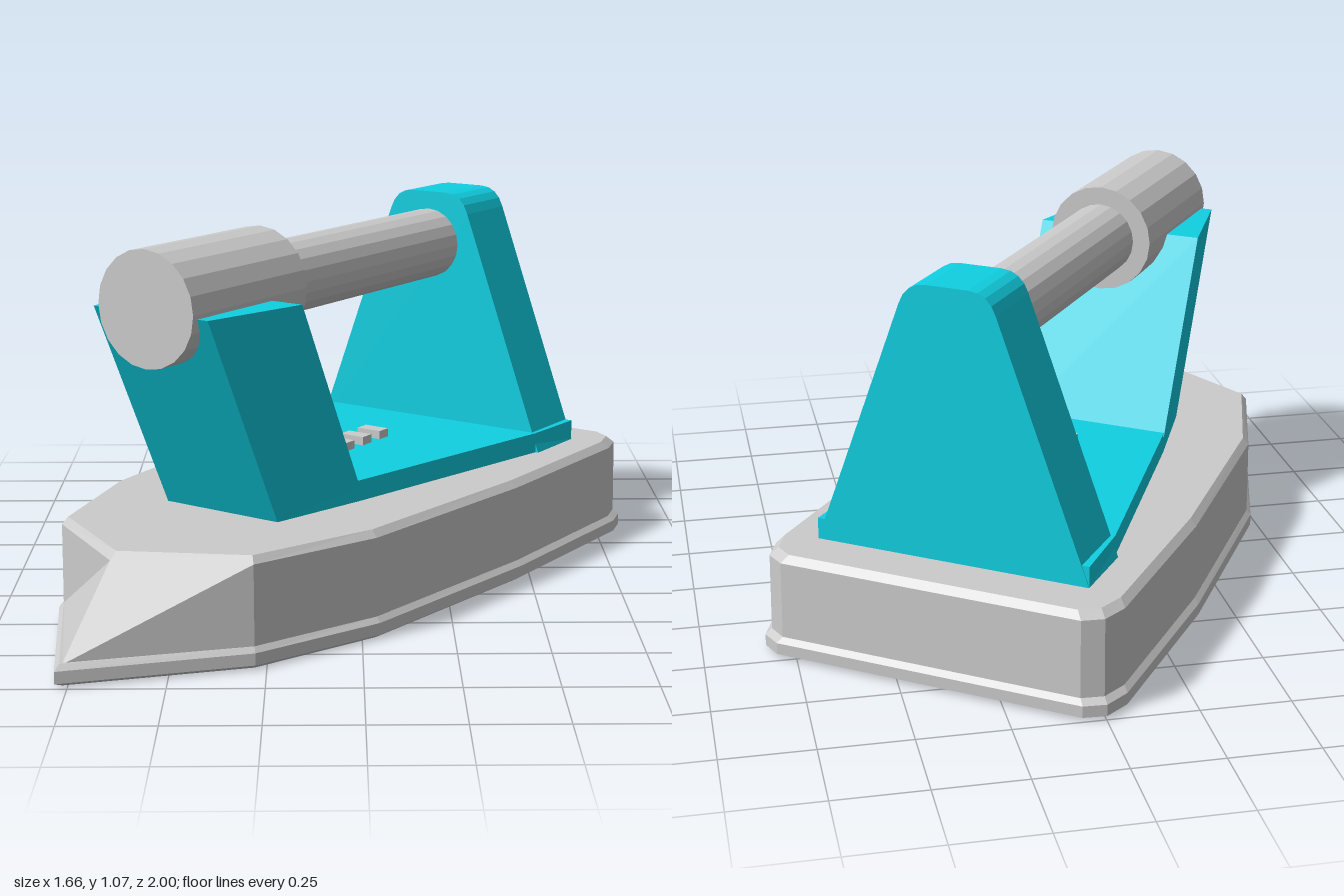
import * as THREE from 'three';

const grey = new THREE.MeshStandardMaterial({ color: 0xcccccc, flatShading: true });
const teal = new THREE.MeshStandardMaterial({ color: 0x10d0e2, flatShading: true });

// Mirror a half outline (tip or front edge to back, on +x) into a full loop
function mirrorLoop(half) {
  const other = half.filter(([x]) => x > 0).reverse().map(([x, z]) => [-x, z]);
  return [...half, ...other];
}

// Stack of rings [{ y, loop }] joined by side faces and closed at both ends
function loft(rings) {
  const pos = [], idx = [], n = rings[0].loop.length;
  rings.forEach(({ y, loop }) => loop.forEach(([x, z]) => pos.push(x, y, z)));
  for (let r = 0; r < rings.length - 1; r++) {
    for (let i = 0; i < n; i++) {
      const j = (i + 1) % n, a = r * n + i, b = r * n + j;
      idx.push(a, b, b + n, a, b + n, a + n);
    }
  }
  const top = (rings.length - 1) * n;
  for (let i = 1; i < n - 1; i++) {
    idx.push(0, i + 1, i);
    idx.push(top, top + i, top + i + 1);
  }
  const geo = new THREE.BufferGeometry();
  geo.setAttribute('position', new THREE.Float32BufferAttribute(pos, 3));
  geo.setIndex(idx);
  const flat = geo.toNonIndexed();
  flat.computeVertexNormals();
  return flat;
}

// Pointed hull outline, shrunk by an inset, with a movable tip
function hull(inset, tipZ) {
  const sx = 1 - inset / 0.53, sz = 1 - inset / 1.05;
  const half = [
    [0.337, 0.87], [0.47, 0.49], [0.528, -0.17], [0.53, -0.74],
    [0.505, -0.82], [0.45, -0.855],
  ].map(([x, z]) => [x * sx, 0.2 + (z - 0.2) * sz]);
  return mirrorLoop([[0, tipZ], ...half]);
}

export function createModel() {
  const group = new THREE.Group();
  const iron = new THREE.Group();
  iron.name = 'iron';
  iron.rotation.y = -0.61;
  iron.position.set(-0.057, 0, -0.04);
  group.add(iron);

  const add = (name, geo, mat) => {
    const mesh = new THREE.Mesh(geo, mat);
    mesh.name = name;
    iron.add(mesh);
    return mesh;
  };

  // Soleplate with bevelled rim
  add('soleplate', loft([
    { y: 0, loop: hull(0.02, 1.235) },
    { y: 0.012, loop: hull(0, 1.265) },
    { y: 0.045, loop: hull(0, 1.265) },
    { y: 0.06, loop: hull(0.014, 1.245) },
  ]), grey);

  // Body with sloping prow and bevelled top edge
  add('body', loft([
    { y: 0.055, loop: hull(0.014, 1.235) },
    { y: 0.28, loop: hull(0.016, 1.04) },
    { y: 0.3, loop: hull(0.035, 1.015) },
  ]), grey);

  // Tapered deck between the handle supports
  const deck = mirrorLoop([[0.19, 0.57], [0.255, 0.27], [0.39, -0.48], [0.4, -0.69]]);
  add('deck', loft([{ y: 0.295, loop: deck }, { y: 0.36, loop: deck }]), teal);

  // Front support leaning forward
  const strut = (dz) => mirrorLoop([[0.19, 0.57 + dz], [0.255, 0.25 + dz]]);
  add('frontSupport', loft([
    { y: 0.3, loop: strut(0) },
    { y: 0.9, loop: strut(0.29) },
  ]), teal);

  // Rear support: trapezoid with rounded top corners
  const shape = new THREE.Shape();
  shape.moveTo(-0.4, 0.3);
  shape.lineTo(0.4, 0.3);
  shape.lineTo(0.138, 1.01);
  shape.quadraticCurveTo(0.118, 1.07, 0.06, 1.07);
  shape.lineTo(-0.06, 1.07);
  shape.quadraticCurveTo(-0.118, 1.07, -0.138, 1.01);
  shape.closePath();
  const rear = new THREE.ExtrudeGeometry(shape, { depth: 0.21, bevelEnabled: false, curveSegments: 4 });
  add('rearSupport', rear.translate(0, 0, -0.692), teal);

  // Handle: slim rod and thicker front barrel
  const bar = (name, radius, z0, z1) => {
    const geo = new THREE.CylinderGeometry(radius, radius, z1 - z0, 20);
    geo.rotateX(Math.PI / 2).translate(0, 0.912, (z0 + z1) / 2);
    add(name, geo, grey);
  };
  bar('handleRod', 0.105, -0.5, 0.4);
  bar('handleBarrel', 0.158, 0.382, 0.878);

  // Row of buttons on the deck
  for (let i = 0; i < 4; i++) {
    const button = add(`button${i + 1}`, new THREE.BoxGeometry(0.08, 0.03, 0.045), grey);
    button.position.set(0, 0.37, -0.175 + i * 0.09);
  }

  return group;
}
